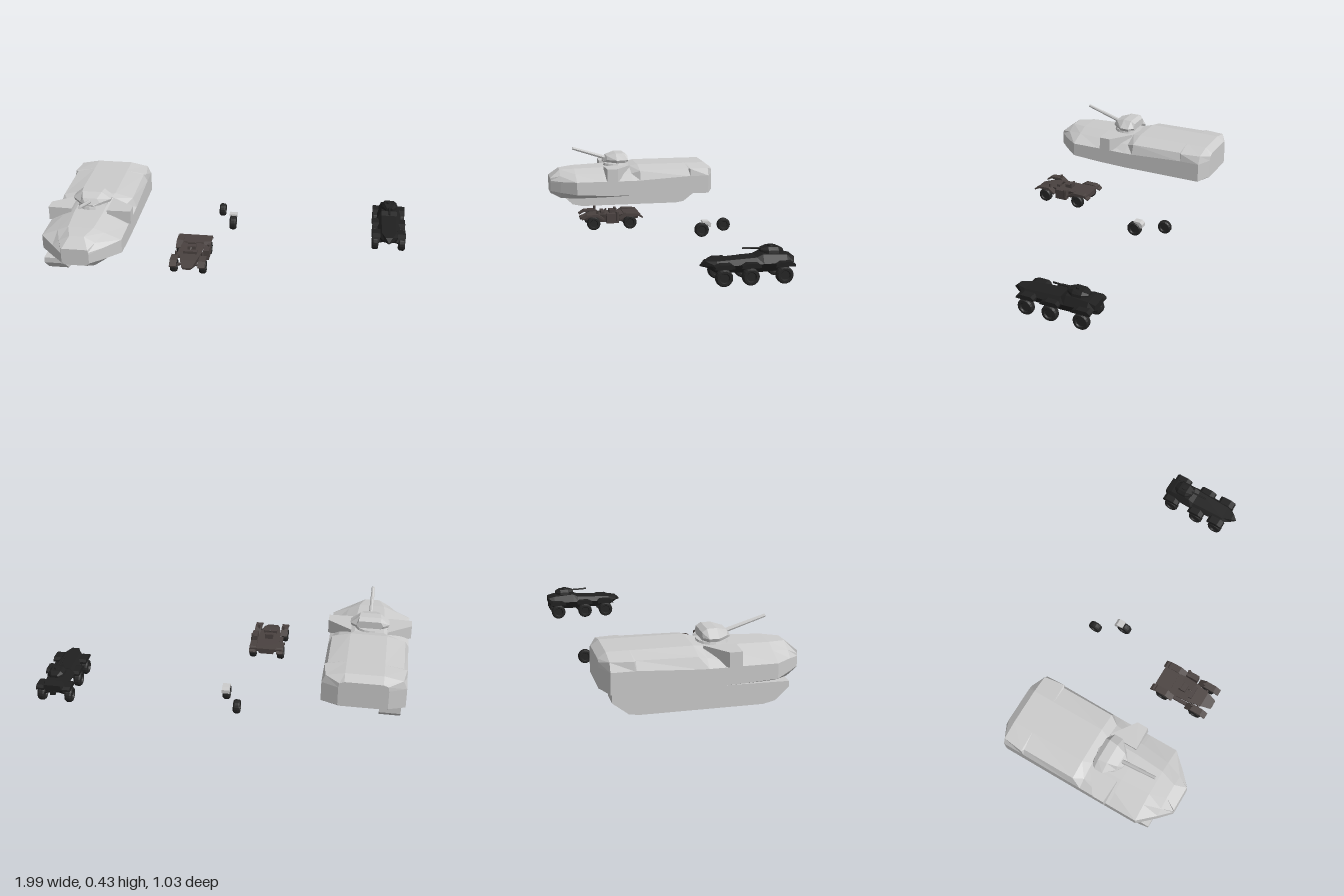
import * as THREE from 'three';

const mat = (color) => new THREE.MeshStandardMaterial({ color, flatShading: true });
const grey = mat(0xcccccc), brown = mat(0x4a4240), black = mat(0x202020), rubber = mat(0x252525);

// Mirrored loft: each station is [z, [halfWidth, y], ...], ordered back to front, bottom to top
function loft(stations) {
  const rings = stations.map(([z, ...pts]) => [
    ...pts.map(([x, y]) => [x, y, z]),
    ...pts.slice().reverse().map(([x, y]) => [-x, y, z]),
  ]);
  const n = rings[0].length, v = [];
  for (let s = 0; s < rings.length - 1; s++) {
    const a = rings[s], b = rings[s + 1];
    for (let i = 0; i < n; i++) {
      const j = (i + 1) % n;
      v.push(...a[i], ...a[j], ...b[j], ...a[i], ...b[j], ...b[i]);
    }
  }
  const back = rings[0], front = rings[rings.length - 1];
  for (let i = 1; i < n - 1; i++) {
    v.push(...front[0], ...front[i], ...front[i + 1]);
    v.push(...back[0], ...back[i + 1], ...back[i]);
  }
  const g = new THREE.BufferGeometry();
  g.setAttribute('position', new THREE.Float32BufferAttribute(v, 3));
  g.computeVertexNormals();
  return g;
}

function add(parent, name, geo, material, x = 0, y = 0, z = 0) {
  const m = new THREE.Mesh(geo, material);
  m.name = name;
  m.position.set(x, y, z);
  parent.add(m);
  return m;
}

const box = (p, name, m, w, h, d, x, y, z) => add(p, name, new THREE.BoxGeometry(w, h, d), m, x, y, z);

// Side profile in (z, y), extruded across x and centred on x = 0
function sideExtrude(points, width) {
  const shape = new THREE.Shape(points.map(([z, y]) => new THREE.Vector2(-z, y)));
  const g = new THREE.ExtrudeGeometry(shape, { depth: width, bevelEnabled: false });
  return g.translate(0, 0, -width / 2).rotateY(Math.PI / 2);
}

// Rod between two points
function rod(parent, name, a, b, r, material, r2 = r, sides = 8) {
  const A = new THREE.Vector3(...a), B = new THREE.Vector3(...b), d = B.clone().sub(A);
  const m = add(parent, name, new THREE.CylinderGeometry(r2, r, d.length(), sides), material);
  m.position.copy(A).addScaledVector(d, 0.5);
  m.quaternion.setFromUnitVectors(new THREE.Vector3(0, 1, 0), d.normalize());
}

// Tyre with rounded shoulders and a recessed hub
function wheel(parent, x, y, z, r, w) {
  const h = w / 2;
  const profile = [[0, -h * 0.6], [r * 0.5, -h * 0.6], [r * 0.6, -h], [r * 0.85, -h], [r, -h * 0.55],
    [r, h * 0.55], [r * 0.85, h], [r * 0.6, h], [r * 0.5, h * 0.6], [0, h * 0.6]];
  const g = new THREE.LatheGeometry(profile.map((p) => new THREE.Vector2(...p)), 18).rotateZ(-Math.PI / 2);
  add(parent, 'wheel', g, rubber, x, y, z);
}

function carrier() {
  const g = new THREE.Group();
  g.name = 'trackedCarrier';
  g.position.x = -0.765;
  // Faceted hull
  add(g, 'hull', loft([
    [-0.5, [0.12, 0.15], [0.13, 0.155], [0.13, 0.26], [0.125, 0.285], [0.1, 0.295]],
    [-0.46, [0.17, 0.145], [0.22, 0.15], [0.22, 0.26], [0.2, 0.305], [0.1, 0.325]],
    [-0.345, [0.17, 0.145], [0.22, 0.15], [0.22, 0.26], [0.215, 0.305], [0.1, 0.325]],
    [-0.335, [0.17, 0.145], [0.22, 0.15], [0.22, 0.26], [0.2, 0.305], [0.1, 0.325]],
    [-0.03, [0.17, 0.142], [0.22, 0.15], [0.22, 0.243], [0.2, 0.3], [0.1, 0.325]],
    [0.02, [0.17, 0.14], [0.22, 0.15], [0.22, 0.242], [0.17, 0.28], [0.08, 0.315]],
    [0.2, [0.17, 0.135], [0.22, 0.155], [0.22, 0.243], [0.15, 0.28], [0.08, 0.31]],
    [0.365, [0.14, 0.128], [0.22, 0.165], [0.22, 0.243], [0.13, 0.28], [0.07, 0.305]],
    [0.455, [0.09, 0.127], [0.137, 0.167], [0.137, 0.235], [0.1, 0.265], [0.04, 0.298]],
    [0.515, [0.06, 0.155], [0.075, 0.17], [0.075, 0.222], [0.073, 0.235], [0.07, 0.25]],
  ]), grey);
  add(g, 'keel', loft([
    [-0.42, [0.08, 0.135], [0.08, 0.16]],
    [-0.34, [0.08, 0.105], [0.08, 0.16]],
    [0.34, [0.08, 0.105], [0.08, 0.16]],
    [0.42, [0.08, 0.125], [0.08, 0.16]],
  ]), grey);
  // Single running-gear block on the right side
  add(g, 'track', sideExtrude([[0.43, 0.14], [0.43, 0.11], [0.36, 0.045], [0.3, 0.031], [-0.32, 0.03],
    [-0.37, 0.038], [-0.45, 0.1], [-0.45, 0.15]], 0.112), grey, -0.142, 0, 0);
  // Swept pods beside the turret
  for (const s of [-1, 1]) {
    const plan = [[0.1, 0.02], [0.232, 0.115], [0.232, 0.18], [0.1, 0.185]];
    const shape = new THREE.Shape(plan.map(([x, z]) => new THREE.Vector2(s * x, -z)));
    const geo = new THREE.ExtrudeGeometry(shape, { depth: 0.076, bevelEnabled: false });
    add(g, 'sidePod', geo.rotateX(-Math.PI / 2), grey, 0, 0.245, 0);
  }
  add(g, 'turretRing', new THREE.CylinderGeometry(0.078, 0.085, 0.02, 16), grey, 0, 0.316, 0.09);
  add(g, 'turret', loft([
    [0.025, [0.06, 0.335], [0.075, 0.35], [0.06, 0.375]],
    [0.05, [0.1, 0.335], [0.107, 0.352], [0.06, 0.391]],
    [0.1, [0.1, 0.335], [0.107, 0.352], [0.055, 0.391]],
    [0.155, [0.05, 0.335], [0.055, 0.35], [0.04, 0.375]],
    [0.177, [0.025, 0.335], [0.025, 0.34], [0.02, 0.345]],
  ]), grey);
  rod(g, 'gunBarrel', [0, 0.352, 0.14], [0, 0.423, 0.365], 0.012, grey, 0.009);
  return g;
}

function buggy() {
  const g = new THREE.Group();
  g.name = 'openBuggy';
  g.position.x = -0.187;
  add(g, 'body', loft([
    [0.06, [0.04, 0.1], [0.05, 0.125]],
    [0.14, [0.045, 0.09], [0.06, 0.13]],
    [0.18, [0.05, 0.085], [0.065, 0.13]],
    [0.26, [0.05, 0.085], [0.06, 0.132]],
    [0.34, [0.035, 0.09], [0.045, 0.128]],
    [0.395, [0.02, 0.1], [0.028, 0.112]],
  ]), brown);
  box(g, 'rearDeck', brown, 0.19, 0.012, 0.09, 0, 0.128, 0.1);
  box(g, 'seat', brown, 0.045, 0.02, 0.03, 0, 0.14, 0.21);
  box(g, 'seatBack', brown, 0.045, 0.032, 0.012, 0, 0.143, 0.19);
  box(g, 'dash', brown, 0.075, 0.016, 0.02, 0, 0.138, 0.265);
  rod(g, 'steeringColumn', [0, 0.13, 0.27], [0, 0.155, 0.24], 0.005, brown);
  // Side storage
  box(g, 'sideCrate', brown, 0.032, 0.055, 0.07, 0.085, 0.115, 0.217);
  rod(g, 'sideCanister', [0.095, 0.1, 0.19], [0.095, 0.152, 0.19], 0.01, brown);
  box(g, 'sideStep', brown, 0.02, 0.015, 0.09, -0.068, 0.1, 0.215);
  for (const s of [-1, 1]) {
    for (const z of [0.115, 0.325]) {
      wheel(g, s * 0.08, 0.087, z, 0.038, 0.036);
      rod(g, 'axleArm', [0, 0.105, z], [s * 0.07, 0.088, z], 0.008, brown);
      // Arched mudguard
      const arch = [[-0.07, 0.11], [-0.04, 0.126], [0.02, 0.126], [0.062, 0.105], [0.066, 0.112], [0.025, 0.14],
        [-0.04, 0.138], [-0.072, 0.117]].map(([a, y]) => [z < 0.2 ? z - 0.002 + a : z - a * 0.95, y]);
      if (z > 0.2) arch.reverse();
      add(g, 'mudguard', sideExtrude(arch, 0.038), brown, s * 0.078, 0, 0);
    }
    rod(g, 'frontMarker', [s * 0.072, 0.135, 0.3], [s * 0.072, 0.158, 0.3], 0.007, brown);
  }
  return g;
}

function armouredCar() {
  const g = new THREE.Group();
  g.name = 'sixWheeledCar';
  g.position.x = 0.9;
  add(g, 'hull', loft([
    [-0.517, [0.035, 0.09], [0.05, 0.1], [0.045, 0.125]],
    [-0.48, [0.045, 0.06], [0.065, 0.1], [0.045, 0.135]],
    [-0.36, [0.045, 0.055], [0.07, 0.1], [0.045, 0.143]],
    [-0.33, [0.045, 0.055], [0.07, 0.1], [0.045, 0.128]],
    [-0.13, [0.04, 0.06], [0.06, 0.095], [0.04, 0.117]],
    [-0.08, [0.02, 0.085], [0.025, 0.092], [0.02, 0.115]],
    [-0.055, [0.002, 0.088], [0.003, 0.09], [0.002, 0.094]],
  ]), black);
  // Turret and gun
  add(g, 'turret', loft([
    [-0.468, [0.02, 0.146], [0.02, 0.155], [0.015, 0.16]],
    [-0.44, [0.045, 0.144], [0.042, 0.158], [0.028, 0.172]],
    [-0.39, [0.045, 0.144], [0.042, 0.158], [0.028, 0.174]],
    [-0.355, [0.02, 0.148], [0.02, 0.158], [0.015, 0.165]],
  ]), black);
  add(g, 'turretRing', new THREE.CylinderGeometry(0.038, 0.042, 0.02, 12), black, 0, 0.138, -0.41);
  rod(g, 'gunBarrel', [0, 0.163, -0.38], [0, 0.167, -0.268], 0.005, black);
  add(g, 'hatch', new THREE.CylinderGeometry(0.016, 0.018, 0.008, 10), black, 0, 0.176, -0.41);
  box(g, 'towHook', black, 0.03, 0.02, 0.012, 0, 0.075, -0.51);
  for (const s of [-1, 1]) {
    for (const z of [-0.46, -0.29, -0.157]) {
      wheel(g, s * 0.076, 0.044, z, 0.043, 0.038);
      rod(g, 'axle', [0, 0.065, z], [s * 0.07, 0.045, z], 0.01, black);
      // Sloped mudguard
      add(g, 'mudguard', sideExtrude([[z - 0.05, 0.088], [z + 0.05, 0.088], [z + 0.045, 0.1],
        [z + 0.02, 0.111], [z - 0.035, 0.111], [z - 0.05, 0.1]], 0.045), black, s * 0.072, 0, 0);
    }
  }
  return g;
}

function looseWheels() {
  const g = new THREE.Group();
  g.name = 'looseWheels';
  wheel(g, -0.1, 0.05, -0.44, 0.038, 0.036);
  wheel(g, -0.02, 0.043, -0.29, 0.041, 0.038);
  // Pale mudguard over the second wheel
  add(g, 'looseMudguard', sideExtrude([[-0.342, 0.062], [-0.332, 0.06], [-0.32, 0.08], [-0.29, 0.088],
    [-0.29, 0.096], [-0.328, 0.095], [-0.342, 0.082]], 0.042), grey, -0.021, 0, 0);
  return g;
}

export function createModel() {
  const model = new THREE.Group();
  model.name = 'vehicleSet';
  model.add(carrier(), buggy(), armouredCar(), looseWheels());
  return model;
}
